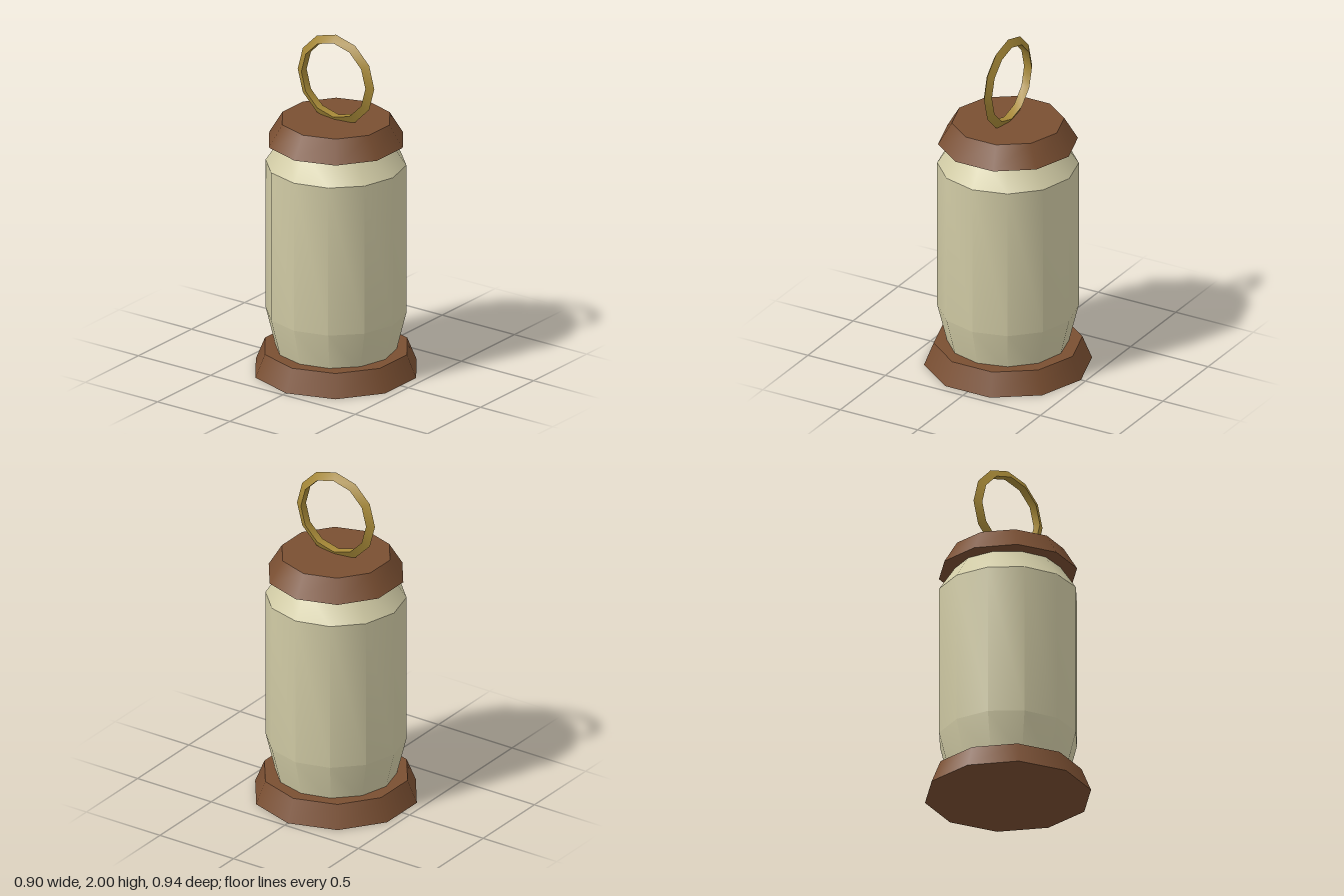
import * as THREE from 'three';
import { toCreasedNormals } from 'three/addons/utils/BufferGeometryUtils.js';

const material = (name, color) => {
  const m = new THREE.MeshStandardMaterial({ color });
  m.name = name;
  return m;
};

export function createModel() {
  const model = new THREE.Group();
  model.name = 'lantern';
  const wood = material('brown wood', 0x7a4f32);
  const glass = material('cream glass', 0xd2cca6);
  const brass = material('brass', 0xa88a38);

  const add = (name, geometry, mat, y = 0) => {
    const mesh = new THREE.Mesh(geometry, mat);
    mesh.name = name;
    mesh.position.y = y;
    model.add(mesh);
  };

  // Ten-sided tapered base and lid
  add('base', new THREE.CylinderGeometry(0.417, 0.471, 0.133, 10), wood, 0.0665);
  add('lid', new THREE.CylinderGeometry(0.315, 0.392, 0.128, 10), wood, 1.434);

  // Twelve-sided jar with a tapered foot and a creased shoulder
  const profile = [[0.333, 0.1], [0.395, 0.35], [0.395, 1.235], [0.295, 1.385]]
    .map(([r, y]) => new THREE.Vector2(r, y));
  add('jar', toCreasedNormals(new THREE.LatheGeometry(profile, 12), 0.54), glass);

  // Carrying ring with a triangular section, sunk slightly into the lid
  add('ring', toCreasedNormals(new THREE.TorusGeometry(0.236, 0.029, 3, 12), 0.7), brass, 1.735);

  return model;
}
